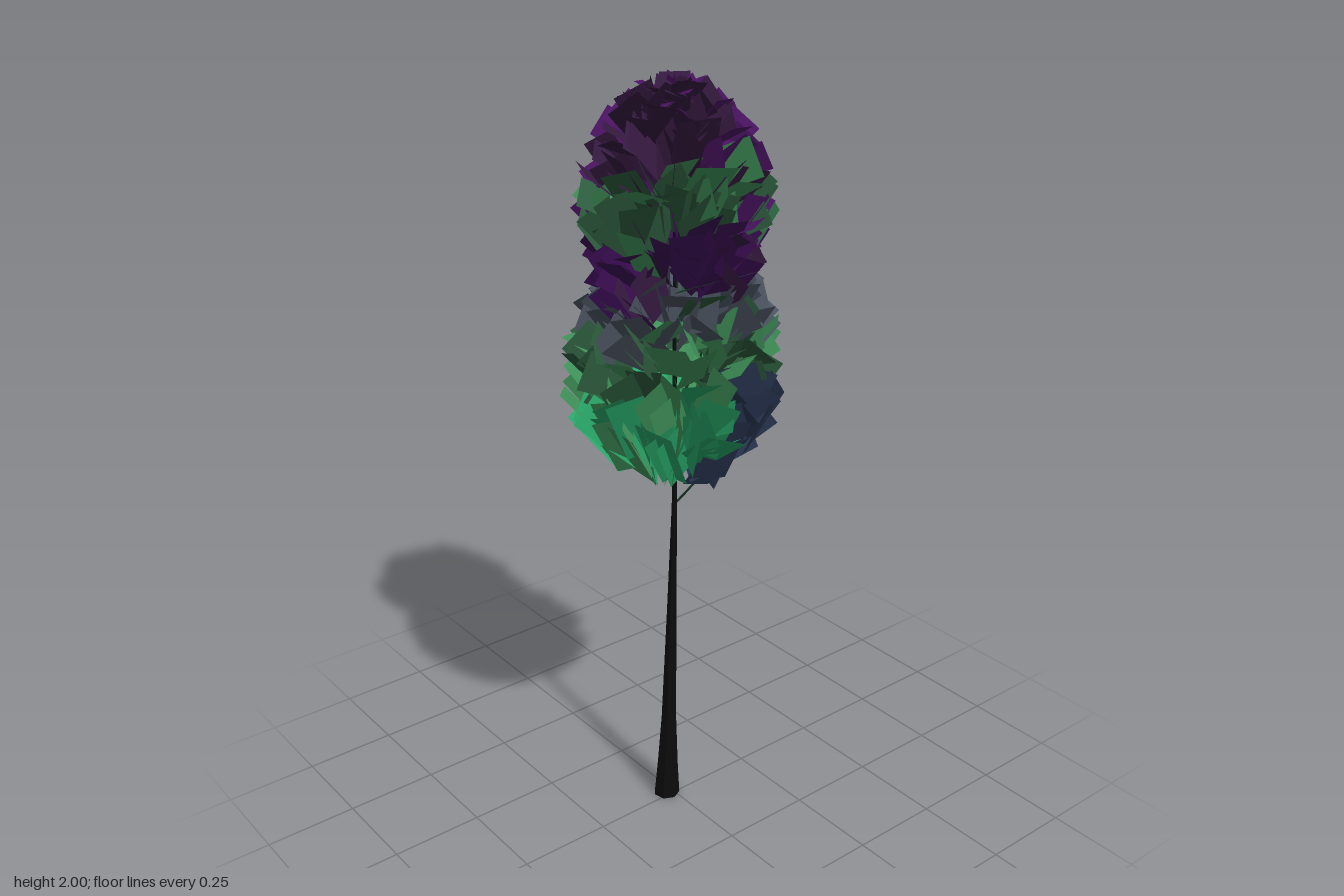
import * as THREE from 'three';
import { mergeGeometries } from 'three/addons/utils/BufferGeometryUtils.js';

// Linear lookup in a short list of [height, value] pairs
function lookup(table, y) {
  if (y <= table[0][0]) return table[0][1];
  for (let i = 1; i < table.length; i++) {
    const [y0, v0] = table[i - 1], [y1, v1] = table[i];
    if (y <= y1) return v0 + (v1 - v0) * (y - y0) / (y1 - y0);
  }
  return table[table.length - 1][1];
}

function seeded(seed) {
  return () => {
    seed = (seed * 1664525 + 1013904223) % 4294967296;
    return seed / 4294967296;
  };
}

const TRUNK = [[0, 0.036], [0.1, 0.029], [0.25, 0.021], [0.6, 0.013], [0.92, 0.007], [1.85, 0.003]];
const CROWN = [[0.98, 0.11], [1.04, 0.16], [1.1, 0.215], [1.2, 0.295], [1.3, 0.28], [1.4, 0.275], [1.5, 0.225],
  [1.6, 0.225], [1.7, 0.25], [1.8, 0.235], [1.87, 0.205], [1.95, 0.14], [2, 0.07]];
const COLORS = {
  violet: 0x4d1466, plum: 0x35193f, deepPurple: 0x3a0c52, slate: 0x4a5360,
  green: 0x3f9259, darkGreen: 0x2c5a3c, brightGreen: 0x27a567, blue: 0x27344f,
};

const trunkLean = y => -0.016 * Math.max(0, 1 - y / 0.93);

// Tapered trunk, leaning slightly into the crown
function makeTrunk() {
  const g = new THREE.CylinderGeometry(1, 1, 1.85, 7, 37);
  g.translate(0, 0.925, 0);
  const p = g.attributes.position;
  for (let i = 0; i < p.count; i++) {
    const y = p.getY(i), r = lookup(TRUNK, y), s = trunkLean(y);
    p.setXYZ(i, p.getX(i) * r + s, y, p.getZ(i) * r + s);
  }
  g.computeVertexNormals();
  return g;
}

// Thin limb curving out of the trunk and then upward
function makeBranch(y, angle, reach, rise) {
  const at = (r, h) => new THREE.Vector3(Math.cos(angle) * r, y + h, Math.sin(angle) * r);
  const curve = new THREE.CatmullRomCurve3([at(0, 0), at(reach * 0.45, rise * 0.3), at(reach * 0.8, rise * 0.65), at(reach, rise)]);
  return new THREE.TubeGeometry(curve, 6, 0.004, 4);
}

// Foliage colour by tier and by side of the tree
function leafColor(y, angle, rand) {
  const h = y + 0.035 * Math.sin(angle * 2 + 1) + (rand() - 0.5) * 0.05;
  const bluish = Math.cos(angle - 0.5) > 0.45;
  if (h > 1.77) return Math.cos(angle - 2.9) > 0.5 ? 'plum' : rand() < 0.7 ? 'violet' : 'plum';
  if (h > 1.65) return rand() < 0.55 ? 'darkGreen' : rand() < 0.5 ? 'green' : 'violet';
  if (h > 1.51) return rand() < 0.75 ? 'deepPurple' : 'plum';
  if (h > 1.39) return rand() < 0.75 ? 'slate' : 'darkGreen';
  if (h > 1.26) return rand() < 0.55 ? 'green' : 'darkGreen';
  if (bluish) return 'blue';
  return rand() < 0.55 ? 'brightGreen' : 'green';
}

// One leaf card pointing outward and up, kept inside the crown outline
function makeCard(tipY, angle, depth, rand) {
  const low = tipY < 1.32;
  const length = low ? 0.17 + rand() * 0.05 : 0.11 + rand() * 0.05;
  const width = 0.07 + rand() * 0.035;
  const out = new THREE.Vector3(Math.cos(angle), 0, Math.sin(angle));
  const lift = (low ? 0.8 : 0.7) + (rand() - 0.5) * 0.7;
  const turn = angle + (rand() - 0.5) * 0.7;
  const dir = new THREE.Vector3(Math.cos(turn) * Math.cos(lift), Math.sin(lift), Math.sin(turn) * Math.cos(lift));
  const side = new THREE.Vector3(-Math.sin(turn), 0, Math.cos(turn)).applyAxisAngle(dir, (rand() - 0.5) * Math.PI);
  const center = out.clone().multiplyScalar(lookup(CROWN, tipY) * depth).setY(tipY).addScaledVector(dir, -length / 2);
  const m = new THREE.Matrix4().makeBasis(side, dir, side.clone().cross(dir)).setPosition(center);
  const g = new THREE.PlaneGeometry(width, length).applyMatrix4(m);
  g.computeBoundingBox();
  const { min, max } = g.boundingBox;
  const floor = Math.cos(angle - 0.4) > 0.3 ? 0.98 : 1.03;
  g.translate(0, Math.max(0, floor - min.y) - Math.max(0, max.y - 1.995), 0);
  const p = g.attributes.position;
  let excess = 0;
  for (let i = 0; i < 4; i++) {
    excess = Math.max(excess, Math.hypot(p.getX(i), p.getZ(i)) - lookup(CROWN, p.getY(i)));
  }
  g.translate(-out.x * excess, 0, -out.z * excess);
  return g;
}

export function createModel() {
  const tree = new THREE.Group();
  tree.name = 'tree';
  const add = (name, geometry, options) => {
    const mesh = new THREE.Mesh(geometry, new THREE.MeshStandardMaterial(options));
    mesh.name = name;
    tree.add(mesh);
  };

  add('trunk', makeTrunk(), { color: 0x0c0c0c, flatShading: true });

  // Limbs spiral up the trunk
  const limbs = [];
  for (let i = 0; i < 16; i++) {
    limbs.push(makeBranch(0.91 + i * 0.055, 0.4 + i * 2.4, i < 4 ? 0.13 : 0.11, i < 4 ? 0.2 : 0.13));
  }
  add('branches', mergeGeometries(limbs), { color: 0x14301f });

  // Leaf cards sorted into one mesh per colour
  const rand = seeded(7);
  const bins = {};
  const count = 520;
  for (let i = 0; i < count; i++) {
    const tipY = 1.12 + 0.88 * (i + rand()) / count;
    const angle = (i * 2.39996) % (Math.PI * 2);
    const depth = tipY > 1.86 ? Math.sqrt(rand()) : 0.7 + 0.3 * rand();
    const key = leafColor(tipY - 0.04, angle, rand);
    (bins[key] ??= []).push(makeCard(tipY, angle, depth, rand));
  }
  for (const key in bins) {
    add(key + 'Leaves', mergeGeometries(bins[key]), { color: COLORS[key], side: THREE.DoubleSide, flatShading: true });
  }
  return tree;
}
